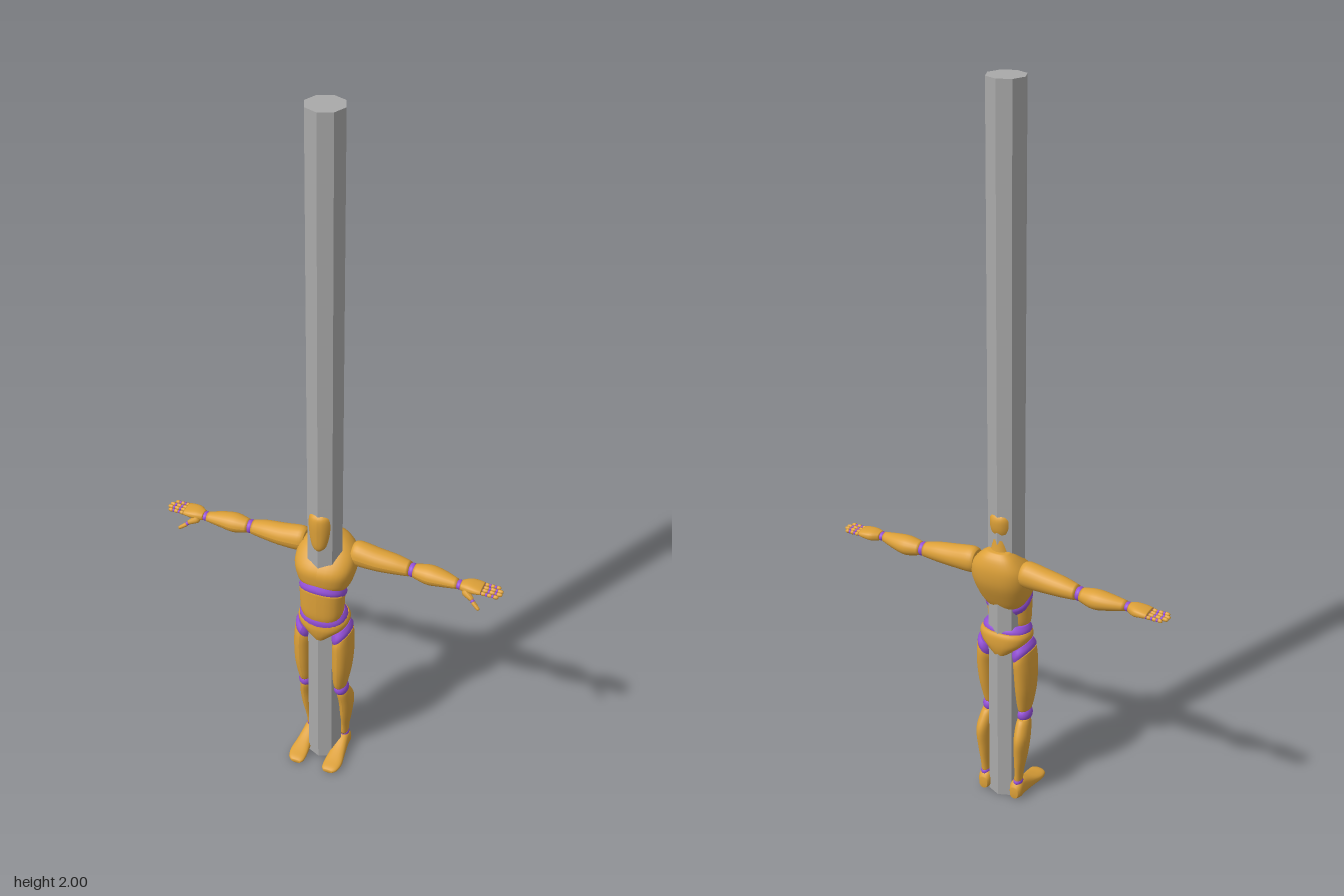
import * as THREE from 'three';

const gold = new THREE.MeshStandardMaterial({ name: 'gold body', color: 0xdca038 });
const purple = new THREE.MeshStandardMaterial({ name: 'purple joints', color: 0x9450d8 });
const grey = new THREE.MeshStandardMaterial({ name: 'grey pole', color: 0xa9a9a9 });

// Smooth interpolation through the rows of a ring table
function sampleRings(rings, t, width) {
  const f = t * (rings.length - 1);
  const i = Math.min(Math.floor(f), rings.length - 2);
  const u = f - i;
  const out = [];
  for (let k = 0; k < width; k++) {
    const v = (n) => rings[THREE.MathUtils.clamp(n, 0, rings.length - 1)][k] ?? 0;
    const [a, b, c, d] = [v(i - 1), v(i), v(i + 1), v(i + 2)];
    out.push(b + 0.5 * u * (c - a + u * (2 * a - 5 * b + 4 * c - d + u * (3 * (b - c) + d - a))));
  }
  return out;
}

// Closed body along +y. Ring: [y, x, z, halfWidth, halfDepth, frontRise, sideRise]
function loft(rings, power = 2, seg = 24) {
  const rows = (rings.length - 1) * 4;
  const pos = [];
  const index = [];
  const addRow = (r, scale) => {
    for (let j = 0; j <= seg; j++) {
      const a = (j / seg) * Math.PI * 2;
      const s = Math.sin(a), c = Math.cos(a);
      const sx = Math.sign(s) * Math.abs(s) ** (2 / power) * scale;
      const sz = Math.sign(c) * Math.abs(c) ** (2 / power) * scale;
      pos.push(r[1] + sx * r[3], r[0] + sz * r[5] + sx * r[6], r[2] + sz * r[4]);
    }
  };
  addRow(sampleRings(rings, 0, 7), 0);
  for (let i = 0; i <= rows; i++) addRow(sampleRings(rings, i / rows, 7), 1);
  addRow(sampleRings(rings, 1, 7), 0);
  const w = seg + 1;
  for (let i = 0; i < rows + 2; i++) {
    for (let j = 0; j < seg; j++) {
      const a = i * w + j, b = a + 1, c = a + w, d = c + 1;
      if (i > 0) index.push(a, b, d);
      if (i < rows + 1) index.push(a, d, c);
    }
  }
  const g = new THREE.BufferGeometry();
  g.setAttribute('position', new THREE.Float32BufferAttribute(pos, 3));
  g.setIndex(index);
  g.computeVertexNormals();
  return g;
}

const ball = (x, y, z, rx, ry, rz) => new THREE.SphereGeometry(1, 20, 14).scale(rx, ry, rz).translate(x, y, z);

// Tapered rod between two points
function rod(from, to, r0, r1) {
  const a = new THREE.Vector3(...from), b = new THREE.Vector3(...to);
  const g = new THREE.CapsuleGeometry(1, 1, 3, 8);
  const p = g.attributes.position;
  const len = a.distanceTo(b);
  for (let i = 0; i < p.count; i++) {
    const top = p.getY(i) > 0;
    const r = top ? r1 : r0;
    const y = top ? len - r1 + (p.getY(i) - 0.5) * r1 : r0 + (p.getY(i) + 0.5) * r0;
    p.setXYZ(i, p.getX(i) * r, y, p.getZ(i) * r);
  }
  const q = new THREE.Quaternion().setFromUnitVectors(new THREE.Vector3(0, 1, 0), b.clone().sub(a).normalize());
  g.applyQuaternion(q).translate(a.x, a.y, a.z);
  g.computeVertexNormals();
  return g;
}

// Mirror across x = 0 and restore the winding
function mirror(g) {
  g.scale(-1, 1, 1);
  const ix = g.index.array;
  for (let i = 0; i < ix.length; i += 3) [ix[i], ix[i + 1]] = [ix[i + 1], ix[i]];
  g.computeVertexNormals();
  return g;
}

export function createModel() {
  const model = new THREE.Group();
  model.name = 'jointedFigureOnPole';

  const add = (name, geometry, material, parent = model) => {
    const m = new THREE.Mesh(geometry, material);
    m.name = name;
    parent.add(m);
  };

  // Octagonal pole
  const pole = new THREE.CylinderGeometry(0.05, 0.05, 2, 8).toNonIndexed();
  pole.computeVertexNormals();
  add('pole', pole.translate(0, 1, -0.01), grey);

  // Head and neck
  add('head', loft([
    [0.775, 0, 0.02, 0.012, 0.02], [0.79, 0, 0.012, 0.024, 0.034], [0.83, 0, -0.004, 0.035, 0.052],
    [0.865, 0, -0.008, 0.037, 0.056], [0.885, 0, -0.008, 0.033, 0.051], [0.896, 0, -0.008, 0.02, 0.034],
  ], 2.3), gold);
  add('neck', loft([
    [0.75, 0, -0.045, 0.04, 0.03], [0.785, 0, -0.035, 0.028, 0.028], [0.85, 0, -0.028, 0.024, 0.026],
  ]), gold);

  // Torso
  add('chest', loft([
    [0.628, 0, -0.003, 0.06, 0.047, 0.02], [0.65, 0, -0.008, 0.073, 0.057, 0.016],
    [0.695, 0, -0.02, 0.084, 0.069, 0.006], [0.735, 0, -0.036, 0.079, 0.058],
    [0.768, 0, -0.05, 0.053, 0.035], [0.785, 0, -0.05, 0.03, 0.02],
  ], 2.5, 32), gold);
  add('ribJoint', loft([
    [0.605, 0, 0.003, 0.06, 0.045, 0.02], [0.622, 0, 0.002, 0.066, 0.051, 0.02], [0.64, 0, 0, 0.06, 0.046, 0.02],
  ], 2.3), purple);
  add('abdomen', loft([
    [0.535, 0, 0.007, 0.054, 0.04, -0.004], [0.555, 0, 0.008, 0.06, 0.043, -0.002],
    [0.59, 0, 0.008, 0.062, 0.044, 0.006], [0.618, 0, 0.008, 0.063, 0.044, 0.016],
  ], 2.4), gold);
  add('waistJoint', loft([
    [0.51, 0, -0.003, 0.064, 0.05, -0.005], [0.532, 0, -0.003, 0.067, 0.053, -0.005],
    [0.548, 0, 0, 0.058, 0.045, -0.005],
  ], 2.3), purple);
  add('pelvis', loft([
    [0.452, 0, -0.008, 0.017, 0.045], [0.475, 0, -0.008, 0.042, 0.054], [0.498, 0, -0.008, 0.066, 0.058],
    [0.518, 0, -0.008, 0.072, 0.057, -0.004], [0.53, 0, -0.006, 0.066, 0.053, -0.004],
  ], 2.4, 32), gold);

  for (const side of [1, -1]) {
    const label = side > 0 ? 'left' : 'right';
    const arm = new THREE.Group();
    const leg = new THREE.Group();
    arm.name = label + 'Arm';
    leg.name = label + 'Leg';
    model.add(arm, leg);
    const put = (group, name, g, mat) => add(label + name, side > 0 ? g : mirror(g), mat, group);

    // Arm segments run along +x; rings are [x, -y, z, halfHeight, halfDepth]
    const along = (rings, power) => loft(rings, power).rotateZ(-Math.PI / 2);
    put(arm, 'UpperArm', along([
      [0.068, -0.73, -0.044, 0.03, 0.028], [0.085, -0.731, -0.044, 0.036, 0.033], [0.14, -0.727, -0.044, 0.031, 0.032],
      [0.19, -0.725, -0.046, 0.026, 0.028], [0.228, -0.722, -0.047, 0.02, 0.021],
    ]), gold);
    put(arm, 'Elbow', ball(0.235, 0.721, -0.047, 0.014, 0.019, 0.02), purple);
    put(arm, 'Forearm', along([
      [0.24, -0.72, -0.047, 0.018, 0.02], [0.28, -0.719, -0.048, 0.026, 0.029],
      [0.32, -0.72, -0.046, 0.021, 0.025], [0.362, -0.72, -0.041, 0.013, 0.015],
    ]), gold);
    put(arm, 'Wrist', ball(0.368, 0.72, -0.041, 0.011, 0.012, 0.015), purple);
    put(arm, 'Palm', along([
      [0.372, -0.72, -0.041, 0.011, 0.015], [0.392, -0.721, -0.045, 0.014, 0.024],
      [0.415, -0.722, -0.046, 0.011, 0.026], [0.43, -0.722, -0.046, 0.008, 0.024],
    ], 2.5), gold);

    // Fingers with knuckle joints
    [[-0.066, 0.474], [-0.053, 0.484], [-0.041, 0.485], [-0.028, 0.478]].forEach(([z, tip], i) => {
      const y = 0.721, start = 0.428, step = (tip - start) / 3;
      for (let k = 0; k < 3; k++) {
        const x = start + k * step;
        put(arm, `Finger${i + 1}Knuckle${k + 1}`, new THREE.SphereGeometry(0.0048, 8, 6).translate(x, y, z), purple);
        put(arm, `Finger${i + 1}Segment${k + 1}`, rod([x + 0.001, y, z], [x + step - 0.001, y, z], 0.0056, 0.005), gold);
      }
    });
    put(arm, 'ThumbBase', rod([0.382, 0.716, -0.03], [0.413, 0.701, -0.014], 0.011, 0.007), gold);
    put(arm, 'ThumbKnuckle', new THREE.SphereGeometry(0.006, 8, 6).translate(0.413, 0.7, -0.013), purple);
    put(arm, 'ThumbTip', rod([0.412, 0.7, -0.013], [0.435, 0.685, -0.002], 0.006, 0.005), gold);

    // Leg
    put(leg, 'Hip', loft([
      [0.455, 0.055, -0.008, 0.024, 0.044, 0, 0.02], [0.472, 0.053, -0.008, 0.026, 0.048, 0, 0.02],
      [0.488, 0.048, -0.008, 0.022, 0.042, 0, 0.018],
    ]), purple);
    put(leg, 'Thigh', loft([
      [0.278, 0.052, 0, 0.017, 0.027], [0.3, 0.053, 0, 0.021, 0.033], [0.35, 0.056, -0.002, 0.026, 0.042],
      [0.41, 0.057, -0.005, 0.028, 0.047], [0.445, 0.056, -0.007, 0.027, 0.048, 0, 0.012],
      [0.463, 0.056, -0.008, 0.024, 0.045, 0, 0.02],
    ]), gold);
    put(leg, 'Knee', ball(0.053, 0.263, -0.003, 0.021, 0.024, 0.027), purple);
    put(leg, 'Shin', loft([
      [0.055, 0.052, -0.035, 0.011, 0.016], [0.09, 0.054, -0.034, 0.012, 0.019], [0.14, 0.057, -0.031, 0.017, 0.027],
      [0.195, 0.059, -0.028, 0.02, 0.034], [0.235, 0.056, -0.015, 0.019, 0.029], [0.252, 0.054, -0.009, 0.016, 0.022],
    ]), gold);
    put(leg, 'Ankle', ball(0.052, 0.052, -0.036, 0.013, 0.013, 0.017), purple);

    // Foot runs along +z; rings are [z, x, -y, halfWidth, halfHeight]
    put(leg, 'Foot', loft([
      [-0.058, 0.049, -0.02, 0.012, 0.017], [-0.045, 0.05, -0.027, 0.019, 0.027], [-0.02, 0.051, -0.026, 0.019, 0.026],
      [0.02, 0.053, -0.017, 0.022, 0.017], [0.055, 0.054, -0.011, 0.026, 0.011],
      [0.08, 0.052, -0.008, 0.023, 0.008], [0.091, 0.05, -0.006, 0.014, 0.005],
    ], 2.5).rotateX(Math.PI / 2), gold);
  }
  return model;
}
